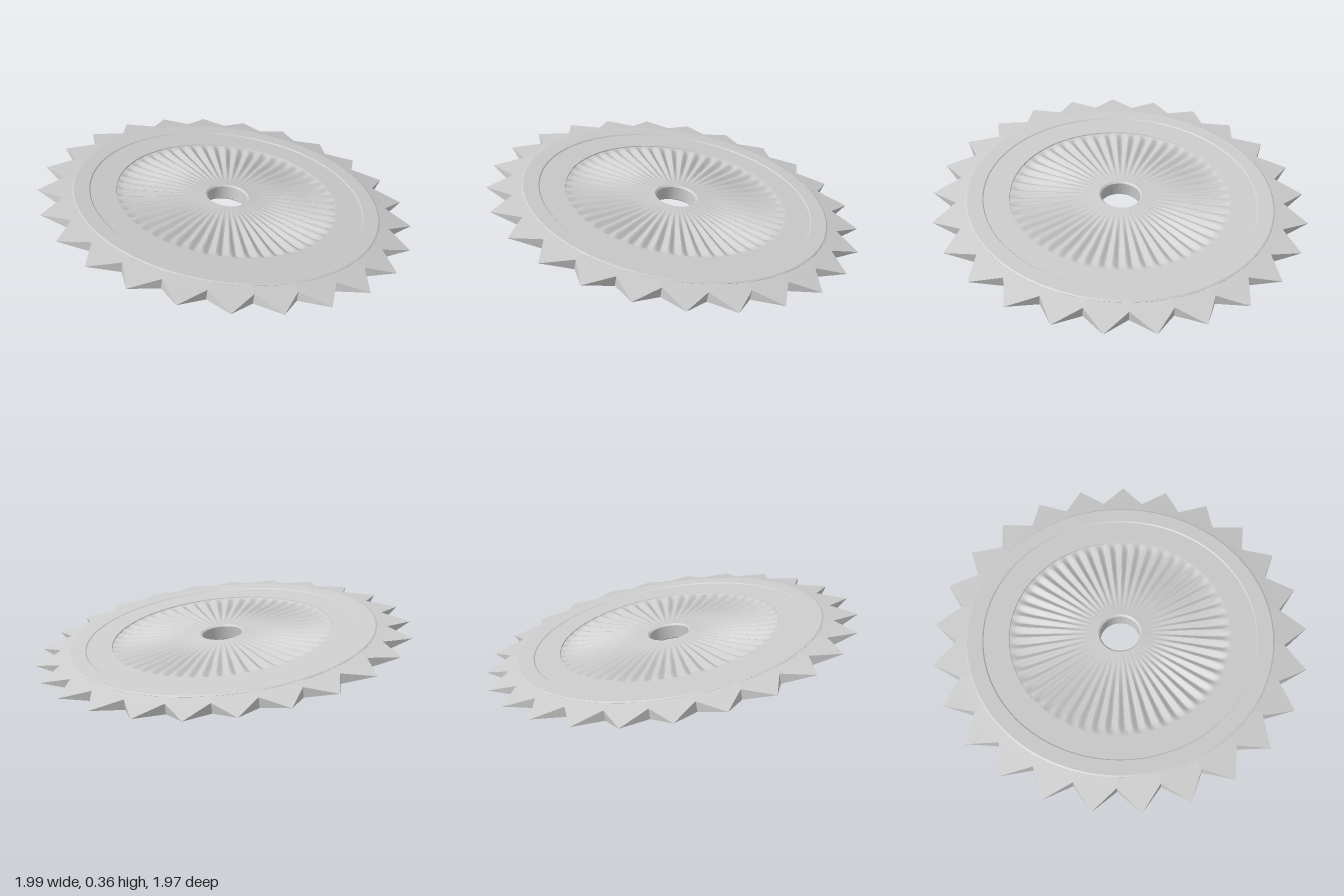
import * as THREE from 'three';
import { toCreasedNormals } from 'three/addons/utils/BufferGeometryUtils.js';

const TEETH = 25;
const FLUTES = 50;
const HALF = 0.038; // half thickness of the plate
const RIM = 0.82; // radius where the teeth start

// Disc body: a mirrored lathe profile with radial flutes pressed into both sides
function bodyGeometry() {
  const top = [
    [0.105, 0.036], [0.115, 0.044], [0.135, 0.042], [0.18, 0.038], [0.24, 0.036],
    [0.3, 0.034], [0.36, 0.032], [0.4, 0.03], [0.44, 0.028], [0.48, 0.027],
    [0.52, 0.027], [0.55, 0.028], [0.575, 0.03], [0.588, 0.033], [0.59, 0.038],
    [0.6, 0.038], [0.726, 0.038], [0.732, 0.043], [0.812, 0.043], [RIM, HALF],
  ];
  const loop = [
    ...top.map(([r, y]) => new THREE.Vector2(r, -y)),
    ...top.map(([r, y]) => new THREE.Vector2(r, y)).reverse(),
  ];
  loop.push(loop[0].clone());
  const geo = new THREE.LatheGeometry(loop, FLUTES * 8);
  const pos = geo.attributes.position;
  for (let i = 0; i < pos.count; i++) {
    const x = pos.getX(i), y = pos.getY(i), z = pos.getZ(i);
    const r = Math.hypot(x, z);
    if (r < 0.12 || r > 0.589) continue;
    const grow = THREE.MathUtils.smoothstep(r, 0.1, 0.48);
    const fade = 1 - THREE.MathUtils.smoothstep(r, 0.55, 0.595);
    const depth = 0.009 * grow * fade * Math.cos(FLUTES * Math.atan2(z, x));
    pos.setY(i, y + Math.sign(y) * depth);
  }
  return toCreasedNormals(geo, 0.5);
}

// Teeth: wedges thinning from the rim to a sharp tip
function teethGeometry() {
  const verts = [];
  const step = (Math.PI * 2) / TEETH;
  const point = (r, a, side) => [
    r * Math.cos(a), side * HALF * (1 - r) / (1 - RIM), r * Math.sin(a),
  ];
  const tri = (flip, a, b, c) => verts.push(...a, ...(flip ? c : b), ...(flip ? b : c));
  for (let k = 0; k < TEETH; k++) {
    const mid = k * step, lo = mid - step / 2, hi = mid + step / 2;
    const tip = point(1, mid, 0);
    for (const side of [1, -1]) {
      const flip = side < 0;
      const baseLo = point(RIM, lo, side), baseHi = point(RIM, hi, side);
      const valleyLo = point(0.872, lo, side), valleyHi = point(0.872, hi, side);
      tri(flip, baseHi, valleyHi, valleyLo);
      tri(flip, baseHi, valleyLo, baseLo);
      tri(flip, valleyHi, tip, valleyLo);
    }
    // Flanks
    tri(false, point(0.872, hi, -1), tip, point(0.872, hi, 1));
    tri(true, point(0.872, lo, -1), tip, point(0.872, lo, 1));
  }
  const geo = new THREE.BufferGeometry();
  geo.setAttribute('position', new THREE.Float32BufferAttribute(verts, 3));
  geo.computeVertexNormals();
  return geo;
}

export function createModel() {
  const group = new THREE.Group();
  group.name = 'sawBlade';
  const blade = new THREE.Group();
  blade.name = 'tiltedBlade';

  const body = new THREE.Mesh(bodyGeometry(), new THREE.MeshStandardMaterial({ color: 0xcccccc }));
  body.name = 'flutedDisc';
  const teeth = new THREE.Mesh(
    teethGeometry(),
    new THREE.MeshStandardMaterial({ color: 0xcccccc, flatShading: true }),
  );
  teeth.name = 'teeth';
  blade.add(body, teeth);

  // Front edge raised
  blade.rotation.x = -0.173;
  blade.position.y = 0.184;
  group.add(blade);
  return group;
}
